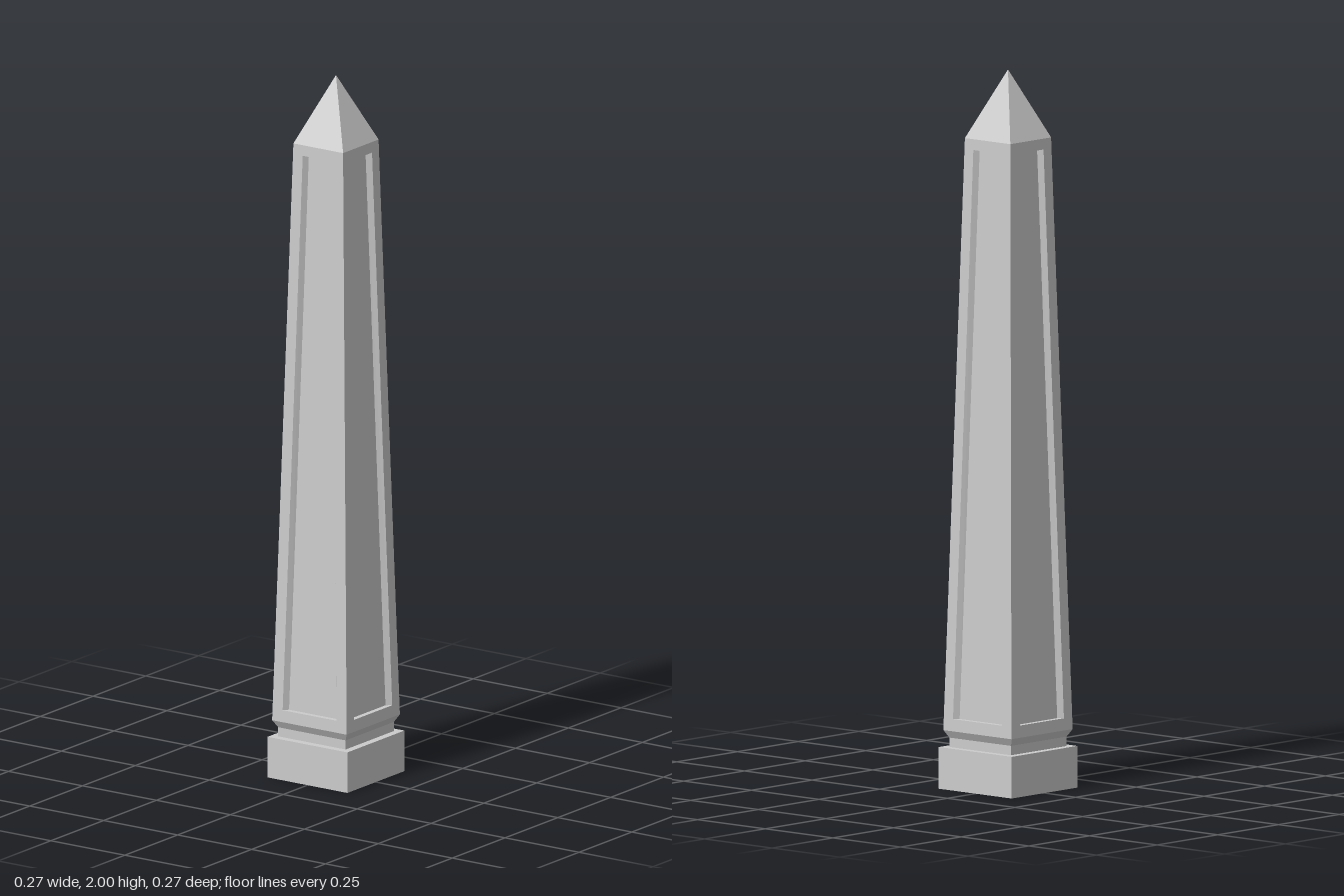
import * as THREE from 'three';

const material = new THREE.MeshStandardMaterial({ color: 0xcccccc, flatShading: true });

// Flat-shaded mesh from quads [a, b, c, d], corners counter-clockwise from outside
function quadMesh(name, quads) {
  const pos = [];
  for (const [a, b, c, d] of quads) pos.push(...a, ...b, ...c, ...a, ...c, ...d);
  const geo = new THREE.BufferGeometry();
  geo.setAttribute('position', new THREE.Float32BufferAttribute(pos, 3));
  geo.computeVertexNormals();
  const mesh = new THREE.Mesh(geo, material);
  mesh.name = name;
  return mesh;
}

// Square tapered block: half widths at bottom and top
function squareBlock(name, bottom, top, y0, y1) {
  const geo = new THREE.CylinderGeometry(top * Math.SQRT2, bottom * Math.SQRT2, y1 - y0, 4);
  geo.rotateY(Math.PI / 4);
  geo.translate(0, (y0 + y1) / 2, 0);
  const mesh = new THREE.Mesh(geo.toNonIndexed(), material);
  mesh.geometry.computeVertexNormals();
  mesh.name = name;
  return mesh;
}

// Shaft dimensions
const Y0 = 0.163, Y1 = 1.81, HALF0 = 0.126, HALF1 = 0.084;
const PANEL_Y0 = 0.197, PANEL_Y1 = 1.78, DEPTH = 0.015;
const shaftHalf = (y) => THREE.MathUtils.mapLinear(y, Y0, Y1, HALF0, HALF1);

// Trapezoid on the front side, sunk by depth
const ring = (y0, w0, y1, w1, depth = 0) => {
  const z0 = shaftHalf(y0) - depth, z1 = shaftHalf(y1) - depth;
  return [[-w0, y0, z0], [w0, y0, z0], [w1, y1, z1], [-w1, y1, z1]];
};
// Four quads joining an outer ring to an inner one
const joinRings = (outer, inner) => outer.map((p, i) => {
  const j = (i + 1) % 4;
  return [p, outer[j], inner[j], inner[i]];
});

// One shaft side: raised frame, bevelled reveal and sunken panel
function shaftSide() {
  const edge = ring(Y0, HALF0, Y1, HALF1);
  const opening = ring(PANEL_Y0, 0.091, PANEL_Y1, 0.052);
  const sunken = ring(PANEL_Y0, 0.08, PANEL_Y1, 0.042, DEPTH);
  const side = new THREE.Group();
  side.add(
    quadMesh('frame', joinRings(edge, opening)),
    quadMesh('reveal', joinRings(opening, sunken)),
    quadMesh('panel', [sunken])
  );
  return side;
}

export function createModel() {
  const model = new THREE.Group();
  model.name = 'obelisk';

  // Plinth, neck and flare under the shaft
  model.add(
    squareBlock('plinth', 0.135, 0.135, 0, 0.116),
    squareBlock('neck', 0.114, 0.114, 0.116, 0.142),
    squareBlock('flare', 0.114, HALF0, 0.142, Y0)
  );

  // Four identical panelled sides
  const shaft = new THREE.Group();
  shaft.name = 'shaft';
  for (let i = 0; i < 4; i++) {
    const side = shaftSide();
    side.name = 'shaftSide' + (i + 1);
    side.rotation.y = (i * Math.PI) / 2;
    shaft.add(side);
  }
  model.add(shaft);

  // Pyramid tip
  model.add(squareBlock('pyramidTip', HALF1, 0, Y1, 2));
  return model;
}
